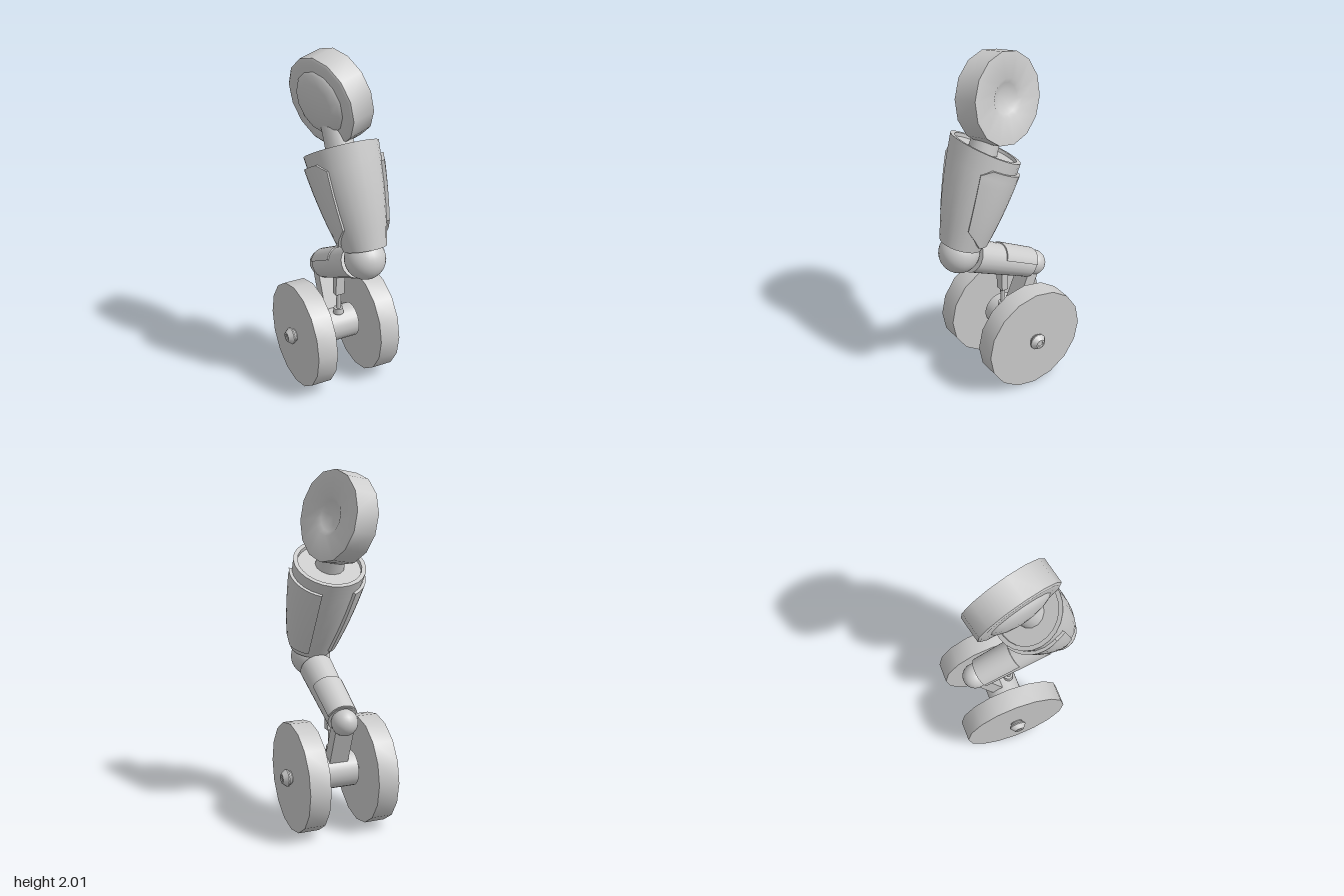
import * as THREE from 'three';
import { toCreasedNormals } from 'three/addons/utils/BufferGeometryUtils.js';

const V = (x, y, z) => new THREE.Vector3(x, y, z);
const UP = V(0, 1, 0);
const lerp = THREE.MathUtils.lerp;
const material = new THREE.MeshStandardMaterial({ color: 0xcccccc });

function part(name, geometry, position = V(0, 0, 0), axis = UP) {
  const mesh = new THREE.Mesh(geometry, material);
  mesh.name = name;
  mesh.position.copy(position);
  mesh.quaternion.setFromUnitVectors(UP, axis.clone().normalize());
  return mesh;
}

// Tapered rod or bar whose length runs from a to b
function between(name, a, b, make) {
  const d = b.clone().sub(a);
  return part(name, make(d.length()), a.clone().add(b).multiplyScalar(0.5), d);
}

function lathe(points, sides) {
  return toCreasedNormals(new THREE.LatheGeometry(points.map(p => new THREE.Vector2(...p)), sides), 0.6);
}

// Surface from a grid of cross-section points
function grid(nu, nv, pointAt) {
  const pos = [], idx = [];
  for (let j = 0; j <= nv; j++)
    for (let i = 0; i <= nu; i++) pos.push(...pointAt(i, j).toArray());
  for (let j = 0; j < nv; j++)
    for (let i = 0; i < nu; i++) {
      const a = j * (nu + 1) + i, b = a + 1, c = a + nu + 1, d = c + 1;
      idx.push(a, c, b, b, c, d);
    }
  const g = new THREE.BufferGeometry();
  g.setAttribute('position', new THREE.Float32BufferAttribute(pos, 3));
  g.setIndex(idx);
  return toCreasedNormals(g, 0.6);
}

// Point on the leaning, bulging upper limb: t runs bottom to top, angle 0 is +x
function limbPoint(angle, t, scale = 1, offset = 0) {
  const r = (lerp(0.119, 0.207, t) + 0.05 * t * (1 - t)) * scale + offset;
  const tilt = lerp(0.35, 0.525, t);
  const s = r * Math.sin(angle);
  return V(
    lerp(0.01, -0.032, t) + r * Math.cos(angle),
    lerp(0.968, 1.484, t) + s * Math.sin(tilt),
    lerp(0.262, 0.064, t) + s * Math.cos(tilt));
}

// Raised side panel with a chamfered front edge and edges sunk into the limb
function sidePanel(side) {
  const nu = 12, nv = 12;
  const clampStep = (i, n) => THREE.MathUtils.clamp((i - 1) / (n - 2), 0, 1);
  return grid(nu, nv, (i, j) => {
    const k = side > 0 ? i : nu - i;
    const u = clampStep(k, nu), v = clampStep(j, nv);
    const chamfer = Math.max(0, 0.2 - v) * 3.2 + Math.max(0, v - 0.9) * 3;
    const a = lerp(-1.1, lerp(0.5, 0.65, v) - chamfer, u);
    const edge = i === 0 || i === nu || j === 0 || j === nv;
    return limbPoint(side > 0 ? a : Math.PI - a, lerp(0.07, 0.88, v), 1, edge ? -0.006 : 0.017);
  });
}

export function createModel() {
  const model = new THREE.Group();
  model.name = 'wheeledLeg';
  const hub = V(0, 0.314, -0.078);
  const knee = V(0.006, 0.91, 0.27);
  const ankle = V(0.003, 0.652, -0.237);

  // Wheels, axle and hub caps
  for (const s of [1, -1]) {
    const side = V(s, 0, 0);
    model.add(part('wheel', toCreasedNormals(new THREE.CylinderGeometry(0.312, 0.312, 0.12, 16), 0.6),
      hub.clone().setX(s * 0.201), side));
    model.add(part('hubCap',
      lathe([[0.036, 0], [0.036, 0.006], [0.05, 0.021], [0.05, 0.028], [0.028, 0.055], [0.018, 0.055], [0.014, 0.05], [0, 0.05]], 12),
      hub.clone().setX(s * 0.26), side));
  }
  model.add(part('axle', new THREE.CylinderGeometry(0.035, 0.035, 0.4, 12), hub, V(1, 0, 0)));
  model.add(part('axleDrum', new THREE.CylinderGeometry(0.101, 0.101, 0.222, 20), V(0, 0.322, -0.078), V(1, 0, 0)));

  // Strut from the drum to the ankle
  model.add(between('strut', V(0, 0.36, -0.1), V(0, 0.64, -0.215),
    l => new THREE.BoxGeometry(0.11, l, 0.07)));

  // Shock absorber
  const low = V(0, 0.41, -0.03), mid = V(0, 0.55, -0.025), high = V(0, 0.71, -0.02);
  model.add(between('shockRod', low, mid, l => new THREE.CylinderGeometry(0.014, 0.014, l, 10)));
  model.add(between('shockBody', mid, high, l => new THREE.BoxGeometry(0.055, l, 0.04)));
  model.add(part('shockCollar', new THREE.CylinderGeometry(0.028, 0.03, 0.035, 12), V(0, 0.435, -0.03)));

  // Ankle and knee joints
  model.add(part('ankleJoint', new THREE.SphereGeometry(0.075, 20, 14), ankle));
  model.add(part('kneeJoint', new THREE.SphereGeometry(0.115, 24, 16), knee));

  // Lower limb with a raised cover along its upper side
  const shinLow = V(0.003, 0.662, -0.2), shinHigh = V(0.003, 0.858, 0.186);
  model.add(between('lowerLimb', shinLow, shinHigh,
    l => new THREE.CylinderGeometry(0.097, 0.083, l, 20)));
  model.add(between('lowerLimbCover', V(0.003, 0.665, -0.198), V(0.003, 0.775, 0.02),
    l => new THREE.CylinderGeometry(0.097, 0.092, l, 12, 1, false, Math.PI * 0.6, Math.PI * 0.8)));

  // Upper limb, a tapered shell with a recessed top
  const rows = [[0, 0], [0, 1], [0.2, 1], [0.4, 1], [0.6, 1], [0.8, 1], [1, 1], [1, 0.88], [0.965, 0.88], [0.965, 0]];
  model.add(part('upperLimb', grid(24, rows.length - 1,
    (i, j) => limbPoint(i / 24 * Math.PI * 2, ...rows[j]))));
  model.add(part('leftSidePanel', sidePanel(1)), part('rightSidePanel', sidePanel(-1)));

  // Neck post between the upper limb and the hip disc
  model.add(between('neckPost', V(-0.035, 1.44, 0.09), V(-0.05, 1.62, 0.02),
    l => new THREE.CylinderGeometry(0.075, 0.085, l, 14)));

  // Hip disc, dimpled on one face and domed on the other
  const profile = [[0, -0.122], [0.06, -0.119], [0.12, -0.108], [0.165, -0.092], [0.178, -0.078],
    [0.2, -0.076], [0.24, -0.076], [0.252, -0.068], [0.252, 0.077], [0.11, 0.077],
    [0.085, 0.061], [0.05, 0.048], [0, 0.042]];
  model.add(part('hipDisc', lathe(profile, 14), V(-0.05, 1.746, -0.026), V(0.95, 0.19, -0.245)));

  return model;
}
